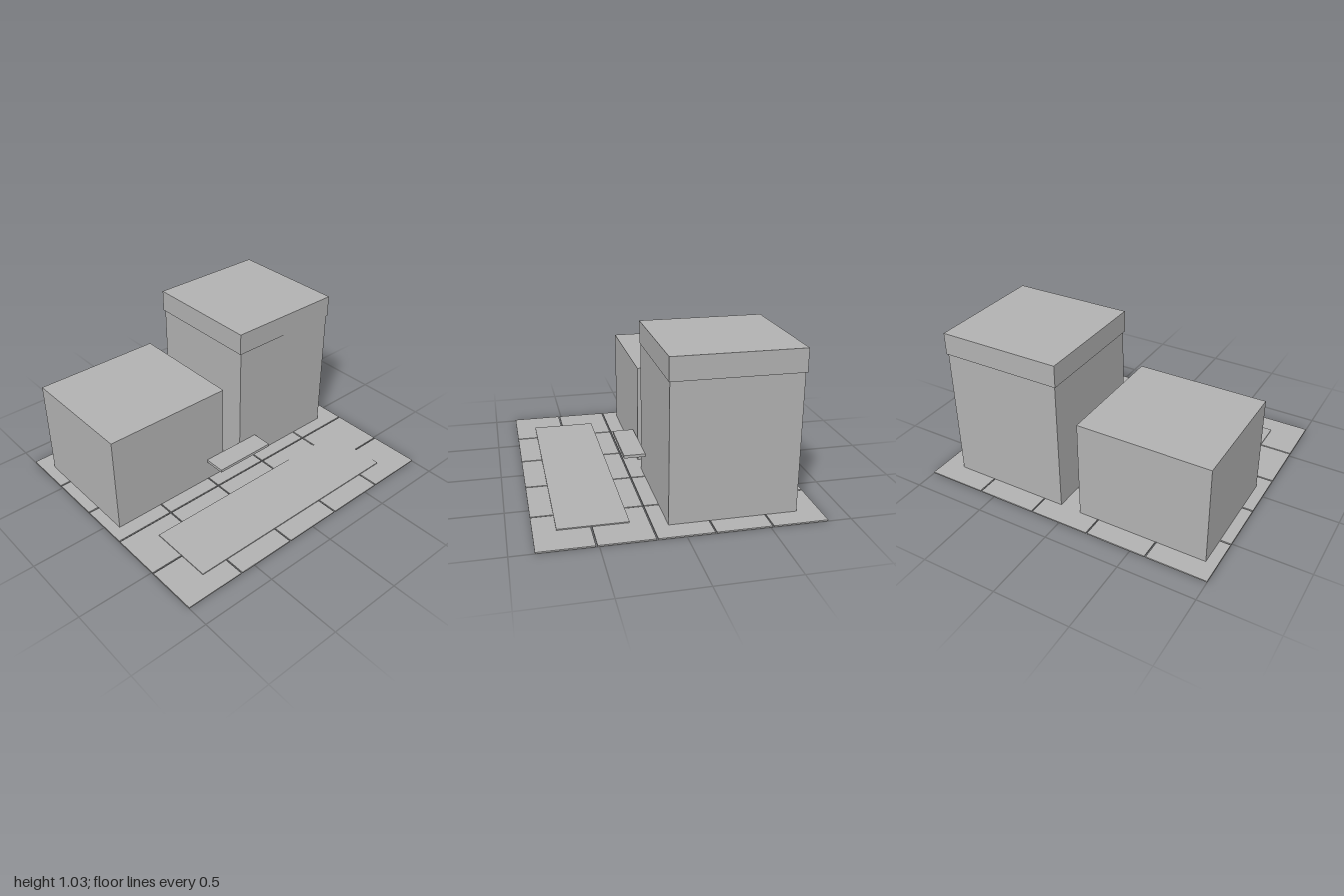
import * as THREE from 'three';

const grey = new THREE.MeshStandardMaterial({ color: 0xb2b2b2 });
grey.name = 'concrete grey';

// Box given by its extents on each axis
function block(name, [x0, x1], [y0, y1], [z0, z1]) {
  const mesh = new THREE.Mesh(new THREE.BoxGeometry(x1 - x0, y1 - y0, z1 - z0), grey);
  mesh.position.set((x0 + x1) / 2, (y0 + y1) / 2, (z0 + z1) / 2);
  mesh.name = name;
  return mesh;
}

export function createModel() {
  const model = new THREE.Group();
  model.name = 'buildingSite';

  // Paving: five by five thin slabs with narrow joints
  const paving = new THREE.Group();
  paving.name = 'paving';
  const n = 5, gap = 0.009, width = 2, depth = 1.709, top = 0.009;
  const w = (width - gap * (n - 1)) / n;
  const d = (depth - gap * (n - 1)) / n;
  for (let i = 0; i < n; i++) {
    for (let j = 0; j < n; j++) {
      const x = -width / 2 + i * (w + gap);
      const z = -depth / 2 + j * (d + gap);
      paving.add(block('pavingSlab', [x, x + w], [0, top], [z, z + d]));
    }
  }
  model.add(paving);

  // Forecourt strip in front of the buildings
  model.add(block('forecourt', [-0.787, 0.787], [top, 0.016], [0.29, 0.717]));

  // Low block, tall block with its overhanging cap, and the entrance canopy
  model.add(block('lowBlock', [-0.929, -0.069], [top, 0.669], [-0.717, 0.069]));
  model.add(block('tallBlock', [0.074, 0.861], [top, 0.884], [-0.712, 0.076]));
  model.add(block('tallBlockCap', [0.065, 0.868], [0.884, 1.028], [-0.721, 0.082]));
  model.add(block('canopy', [-0.213, 0.215], [0.156, 0.176], [0.074, 0.217]));

  return model;
}
